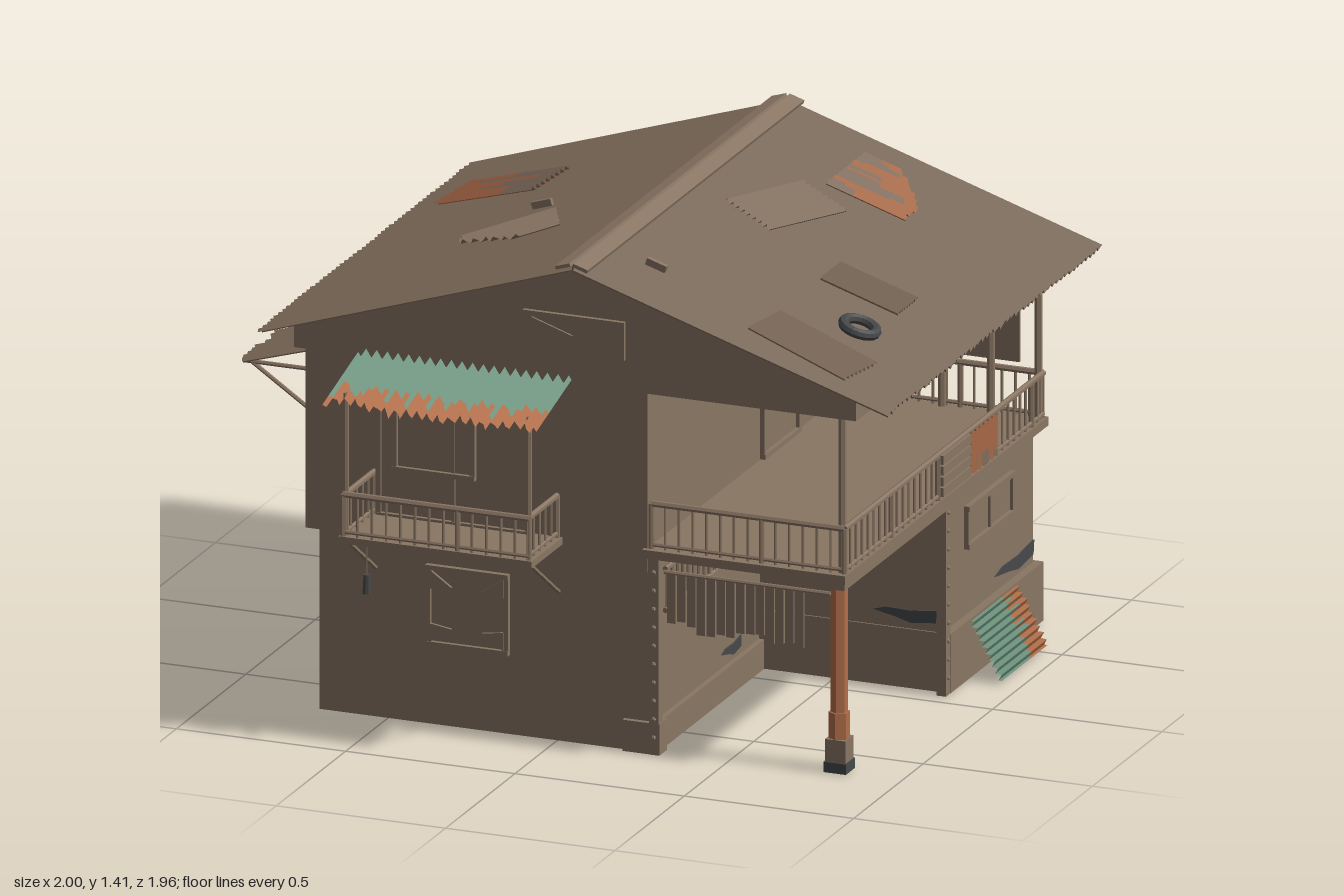
import * as THREE from 'three';

const mat = (name, color) => Object.assign(
  new THREE.MeshStandardMaterial({ color, side: THREE.DoubleSide, flatShading: true }), { name });
const brown = mat('weathered brown', 0x8a7664);
const rust = mat('rust orange', 0xb26f4a);
const green = mat('faded green', 0x6f957f);
const dark = mat('dark grey', 0x464849);

let seed = 7;
const rand = () => (seed = (seed * 16807) % 2147483647) / 2147483647;
const RIDGE = [0.07, 1.385], SLOPE = Math.atan(0.3 / 0.93), RUN = 0.977;

export function createModel() {
  const root = new THREE.Group();
  root.name = 'house';
  const add = (name, geo, m, parent = root) => {
    const mesh = new THREE.Mesh(geo, m);
    mesh.name = name;
    parent.add(mesh);
    return mesh;
  };
  // box given by its low and high corners
  const box = (name, x0, x1, y0, y1, z0, z1, m = brown, parent = root) => {
    const b = add(name, new THREE.BoxGeometry(x1 - x0, y1 - y0, z1 - z0), m, parent);
    b.position.set((x0 + x1) / 2, (y0 + y1) / 2, (z0 + z1) / 2);
    return b;
  };
  // round bar between two points
  const bar = (name, a, b, r = 0.006, m = brown, parent = root) => {
    const p = new THREE.Vector3(...a), d = new THREE.Vector3(...b).sub(p);
    const c = add(name, new THREE.CylinderGeometry(r, r, d.length(), 6), m, parent);
    c.position.copy(p).addScaledVector(d, 0.5);
    c.quaternion.setFromUnitVectors(new THREE.Vector3(0, 1, 0), d.normalize());
    return c;
  };
  // corrugated sheet: runs along +x, waves across z, second colour past the split
  const sheet = (name, len, wide, waves, amp, mats, { rag = 0, split = 2, jit = 0.12, cut = () => 1 } = {}) => {
    const cols = waves * 4, rows = 6, pos = [], lists = [[], []];
    let drift = 0;
    for (let i = 0; i <= cols; i++) {
      const u = i / cols;
      drift = drift * 0.8 + (rand() - 0.5) * rag;
      for (let j = 0; j <= rows; j++)
        pos.push((j / rows) * (len * cut(u) + drift), amp * Math.sin(u * waves * Math.PI * 2), (u - 0.5) * wide);
    }
    for (let i = 0; i < cols; i++) {
      const edge = split + (rand() - 0.5) * jit;
      for (let j = 0; j < rows; j++) {
        const a = i * (rows + 1) + j, b = a + rows + 1;
        lists[(j + 0.5) / rows > edge ? 1 : 0].push(a, b, a + 1, b, b + 1, a + 1);
      }
    }
    const g = new THREE.BufferGeometry();
    g.setAttribute('position', new THREE.Float32BufferAttribute(pos, 3));
    g.setIndex([...lists[0], ...lists[1]]);
    g.addGroup(0, lists[0].length, 0);
    g.addGroup(lists[0].length, lists[1].length, 1);
    const flat = g.toNonIndexed();
    flat.computeVertexNormals();
    return add(name, flat, mats);
  };
  const place = (o, x, y, z, yaw = 0, tilt = 0, pitch = 0) => {
    o.rotation.set(pitch, yaw, -tilt, 'YXZ');
    o.position.set(x, y, z);
    return o;
  };
  const plate = (name, pts, m, depth = 0.006) => add(name, new THREE.ExtrudeGeometry(
    new THREE.Shape(pts.map(p => new THREE.Vector2(...p))), { depth, bevelEnabled: false }), m);
  // framed opening facing +z before turning
  const opening = (name, w, h, pane, x, y, z, yaw, mullions = 0) => {
    const g = new THREE.Group(), t = 0.014;
    g.name = name;
    box('pane', -w / 2, w / 2, -h / 2, h / 2, 0, 0.004, pane, g);
    for (const s of [-1, 1]) {
      box('frameSide', s * w / 2 - t / 2, s * w / 2 + t / 2, -h / 2, h / 2, 0, 0.014, brown, g);
      box('frameRail', -w / 2 - t / 2, w / 2 + t / 2, s * h / 2 - t / 2, s * h / 2 + t / 2, 0, 0.016, brown, g);
    }
    for (let i = 1; i <= mullions; i++) {
      const mx = -w / 2 + (w * i) / (mullions + 1);
      box('mullion', mx - 0.005, mx + 0.005, -h / 2, h / 2, 0, 0.012, brown, g);
    }
    root.add(place(g, x, y, z, yaw));
    return g;
  };
  // railing with evenly spaced balusters
  const railing = (name, a, b, y0, y1, step) => {
    const g = new THREE.Group();
    g.name = name;
    root.add(g);
    const at = (t, y) => [a[0] + (b[0] - a[0]) * t, y, a[1] + (b[1] - a[1]) * t];
    bar('topRail', at(0, y1), at(1, y1), 0.009, brown, g);
    bar('bottomRail', at(0, y0 + 0.012), at(1, y0 + 0.012), 0.006, brown, g);
    const n = Math.round(Math.hypot(b[0] - a[0], b[1] - a[1]) / step);
    for (let i = 0; i <= n; i++) bar('baluster', at(i / n, y0), at(i / n, y1), i % 8 ? 0.004 : 0.008, brown, g);
  };

  // walls and floors
  box('lowerWalls', -0.7, 0.28, 0, 0.58, -0.73, 0.7);
  box('upperWalls', -0.74, 0.27, 0.52, 1.06, -0.735, 0.705);
  box('backRoom', 0.27, 0.82, 0, 0.57, -0.73, -0.08);
  box('backRoomPlinth', 0.27, 0.845, 0, 0.17, -0.745, -0.075);
  box('wallPlinth', 0.27, 0.295, 0, 0.085, -0.08, 0.7);
  box('pillarFoot', 0.2, 0.31, 0, 0.09, 0.66, 0.715);
  box('verandaFloor', 0.26, 0.86, 0.565, 0.59, -0.745, 0.72);
  box('verandaBeam', 0.8, 0.85, 0.54, 0.57, -0.1, 0.7);
  const gable = plate('gable', [[-0.77, 1.04], [0.89, 1.04], [0.89, 1.11], [0.07, 1.372], [-0.77, 1.11]], brown, 1.45);
  gable.position.z = -0.735;

  // roof halves, ridge cap and loose sheets
  for (const s of [1, -1]) {
    place(sheet(s > 0 ? 'roofLeft' : 'roofRight', RUN, 1.55, 52, 0.008, [brown, brown], { rag: 0.004 }),
      RIDGE[0], RIDGE[1], -0.015, s > 0 ? 0 : Math.PI, SLOPE);
    const cap = box('ridgeCap', 0, 0.045, 0.008, 0.018, -0.78, 0.78);
    const g = new THREE.Group();
    g.name = 'ridgeCapHalf';
    g.add(cap);
    root.add(place(g, RIDGE[0], RIDGE[1] + 0.003, -0.015, s > 0 ? 0 : Math.PI, SLOPE));
  }
  const onRoof = (o, x, z, spin = 0, lift = 0.018) => {
    const g = new THREE.Group(), s = x > RIDGE[0] ? 1 : -1;
    g.name = o.name + 'Mount';
    o.rotation.y = spin;
    g.add(o);
    root.add(place(g, x, RIDGE[1] - Math.abs(x - RIDGE[0]) * 0.3226 + lift, z, s > 0 ? 0 : Math.PI, SLOPE));
  };
  const patch = (len, wide, x, z, spin, opt = {}, mats = [brown, rust]) => {
    const p = sheet('roofPatch', len, wide, 8, 0.007, mats, opt);
    p.geometry.translate(-len / 2, 0, 0);
    onRoof(p, x, z, spin);
  };
  const torn = u => 0.45 + 0.55 * Math.min(1, Math.abs(1.5 * u));
  patch(0.25, 0.28, 0.47, -0.52, 0, { cut: torn, split: 0.3, jit: 1.2, rag: 0.01 });
  patch(0.33, 0.17, 0.33, -0.15, 1.25);
  patch(0.24, 0.14, 0.68, 0.11, 0);
  patch(0.32, 0.18, 0.71, 0.59, -0.13);
  patch(0.33, 0.2, -0.6, -0.37, -0.17, { split: 0.35, jit: 1.3 });
  patch(0.27, 0.23, -0.34, 0.2, 0.45, { cut: torn, rag: 0.01 });
  const tyre = (name, r) => add(name, new THREE.TorusGeometry(r, r * 0.32, 8, 20), dark);
  const roofTyre = tyre('roofTyre', 0.047);
  roofTyre.geometry.rotateX(Math.PI / 2);
  onRoof(roofTyre, 0.76, 0.37, 0, 0.025);
  for (const [x, z] of [[-0.35, -0.05], [0.23, 0.54]])
    onRoof(add('roofPeg', new THREE.BoxGeometry(0.06, 0.02, 0.015), brown), x, z);

  // awnings
  place(sheet('frontAwning', 0.27, 0.63, 20, 0.012, [green, rust], { rag: 0.02, split: 0.72 }), -0.265, 1.055, 0.7, -Math.PI / 2, 0.27);
  place(sheet('backAwning', 0.25, 0.63, 20, 0.012, [green, rust], { rag: 0.02, split: 0.62 }), -0.315, 0.495, -0.73, Math.PI / 2, 0.33);
  for (const [z0, z1, m, lift] of [[-0.67, -0.33, brown, 0], [-0.35, 0.03, green, 0.012], [0, 0.34, brown, 0], [0.3, 0.59, brown, 0.008]])
    place(sheet('sideAwning', 0.27, z1 - z0, 9, 0.009, [m, m === green ? rust : brown], { rag: 0.015, split: 0.6 }),
      -0.72, 1 + lift, (z0 + z1) / 2, Math.PI, 0.29);
  place(sheet('windowAwning', 0.18, 0.3, 9, 0.009, [green, rust], { rag: 0.015, split: 0.7 }), -0.71, 0.52, -0.42, Math.PI, 1.16);
  place(sheet('leaningSheet', 0.33, 0.185, 9, 0.008, [green, rust], { split: 0.72, rag: 0.01 }), 0.9, 0.09, -0.2, Math.PI / 2, 0, 1.06);
  for (const z of [-0.6, -0.03, 0.53]) {
    bar('awningStrut', [-0.97, 0.915, z], [-0.74, 0.76, z]);
    bar('awningArm', [-0.99, 0.915, z], [-0.74, 0.915, z]);
  }
  for (const x of [-0.6, -0.03]) {
    bar('backStrut', [x, 0.41, -0.95], [x, 0.23, -0.73]);
    bar('backArm', [x, 0.42, -0.97], [x, 0.42, -0.73]);
  }

  // small front balcony
  box('balconyFloor', -0.55, 0.02, 0.57, 0.59, 0.7, 0.93);
  railing('balconyRail', [-0.54, 0.92], [0.01, 0.92], 0.59, 0.71, 0.042);
  for (const x of [-0.535, 0.005]) {
    railing('balconySideRail', [x, 0.71], [x, 0.92], 0.59, 0.71, 0.042);
    bar('balconyPost', [x, 0.59, 0.91], [x, 1, 0.91], 0.008);
    bar('balconyStrut', [x, 0.575, 0.91], [x, 0.43, 0.7], 0.007);
  }
  opening('balconyDoor', 0.44, 0.38, brown, -0.3, 0.78, 0.705, 0, 1);
  opening('balconyWindow', 0.23, 0.24, brown, -0.355, 0.85, 0.71, 0);
  bar('lanternCord', [-0.47, 0.57, 0.92], [-0.47, 0.49, 0.92], 0.002);
  add('lantern', new THREE.CylinderGeometry(0.01, 0.013, 0.055, 8), dark).position.set(-0.47, 0.46, 0.92);

  // front window with broken corners, gable vents
  opening('frontWindow', 0.23, 0.22, brown, -0.26, 0.345, 0.7, 0);
  for (const sx of [-1, 1]) for (const sy of [-1, 1])
    plate('windowShard', [[0.11 * sx, 0.05 * sy], [0.11 * sx, 0.105 * sy], [0.045 * sx, 0.06 * sy]], brown, 0.008).position.set(-0.26, 0.345, 0.708);
  box('frontVent', -0.09, 0.21, 1.13, 1.24, 0.71, 0.728);
  plate('ventFlap', [[-0.06, 1.145], [0.06, 1.185], [-0.06, 1.225]], brown).position.z = 0.729;
  box('backVent', -0.09, 0.23, 1.13, 1.23, -0.765, -0.73).rotation.z = -0.05;

  // veranda rails, posts and hangings
  railing('verandaFrontRail', [0.28, 0.7], [0.85, 0.7], 0.59, 0.72, 0.04);
  railing('verandaSideRail', [0.85, 0.7], [0.85, -0.73], 0.59, 0.72, 0.042);
  railing('verandaBackRail', [0.28, -0.73], [0.85, -0.73], 0.59, 0.72, 0.04);
  for (const [x, z] of [[0.84, 0.69], [0.84, -0.38], [0.84, -0.72], [0.555, -0.72]]) bar('verandaPost', [x, 0.58, z], [x, 1.05, z], 0.011);
  box('hangingScreen', 0.28, 0.79, 0.75, 0.985, -0.712, -0.706);
  for (let i = 0; i < 4; i++) box('railBoard', 0.858, 0.868, 0.602 + i * 0.031, 0.628 + i * 0.031, -0.17, 0.03);
  place(sheet('railSheet', 0.12, 0.18, 6, 0.006, [rust, brown], { split: 0.9, jit: 0.5 }), 0.868, 0.725, -0.26, 0, Math.PI / 2);
  bar('rustyPost', [0.81, 0.16, 0.64], [0.81, 0.57, 0.64], 0.024, rust);
  bar('postBase', [0.81, 0.09, 0.64], [0.81, 0.17, 0.64], 0.03, rust);
  box('postFoot', 0.78, 0.84, 0, 0.095, 0.61, 0.67);
  box('postFootSole', 0.777, 0.843, 0, 0.03, 0.607, 0.673, dark);
  for (const [x, z] of [[0.293, 0.7], [0.83, -0.06]]) {
    box('studdedPillar', x - 0.014, x + 0.014, 0, 0.57, z - 0.016, z + 0.016);
    for (let i = 0; i < 10; i++) add('stud', new THREE.SphereGeometry(0.007, 6, 4), brown).position.set(x + (z < 0 ? 0.014 : 0), 0.05 + i * 0.053, z + (z > 0 ? 0.016 : 0));
  }
  bar('hangingRail', [0.31, 0.52, 0.68], [0.8, 0.52, 0.68], 0.006);
  for (let i = 0; i < 14; i++) {
    const x = 0.32 + i * 0.029;
    box('hangingSlat', x, x + 0.025, 0.35 + (i % 7 < 3 ? 0.02 : 0) + rand() * 0.015, 0.52, 0.676, 0.684);
  }
  for (const y of [0.39, 0.51]) bar('latticeRail', [0.292, y, -0.05], [0.292, y, 0.63], 0.008);
  for (let i = 0; i < 18; i++) bar('latticeSlat', [0.292, 0.39, -0.03 + i * 0.038], [0.292, 0.51, -0.03 + i * 0.038], 0.005);

  // openings on the sides
  opening('verandaDoor', 0.25, 0.38, brown, 0.271, 0.79, -0.235, Math.PI / 2);
  box('doorGlass', 0.272, 0.281, 0.755, 0.98, -0.345, -0.125, dark);
  opening('verandaWindow', 0.25, 0.27, brown, 0.271, 0.865, -0.53, Math.PI / 2, 1);
  box('windowGlass', 0.272, 0.279, 0.75, 0.93, -0.49, -0.42, dark);
  opening('backRoomWindow', 0.32, 0.11, brown, 0.82, 0.425, -0.4, Math.PI / 2, 1);
  opening('sideWindow', 0.26, 0.25, brown, -0.7, 0.38, -0.42, -Math.PI / 2, 1);
  opening('sideWindow', 0.28, 0.25, brown, -0.7, 0.4, 0.32, -Math.PI / 2, 1);
  place(sheet('sideShutter', 0.19, 0.13, 5, 0.007, [brown, brown]), -0.725, 0.53, 0.25, Math.PI, Math.PI / 2, 0);
  for (const z of [-0.42, 0.28]) opening('upperSideWindow', 0.24, 0.2, dark, -0.74, 0.79, z, -Math.PI / 2, 1);

  // back wall: door, corrugated cover with tyre, ladder
  opening('backDoor', 0.21, 0.37, brown, -0.32, 0.19, -0.73, Math.PI);
  opening('doorGrille', 0.11, 0.1, dark, -0.32, 0.28, -0.736, Math.PI, 4);
  place(sheet('windowCover', 0.37, 0.53, 16, 0.01, [brown, rust], { split: 0.6, jit: 1.4, rag: 0.02 }), -0.41, 1.02, -0.75, Math.PI / 2, Math.PI / 2);
  tyre('wallTyre', 0.045).position.set(-0.5, 0.87, -0.785);
  for (const x of [0.07, 0.18]) bar('ladderRail', [x, 0.13, -0.78], [x, 1.07, -0.78], 0.008);
  for (let i = 0; i < 14; i++) bar('ladderRung', [0.07, 0.17 + i * 0.066, -0.78], [0.18, 0.17 + i * 0.066, -0.78], 0.006);

  // damp stains
  const stain = (w, h, x, y, z, yaw) => place(plate('stain', [[-0.5, 0.1], [-0.3, 0.35], [0.1, 0.3], [0.5, 0.5], [0.48, -0.3],
    [0.1, -0.5], [-0.15, -0.2]].map(([a, b]) => [a * w, b * h]), dark, 0.004), x, y, z, yaw);
  stain(0.28, 0.05, 0.82, 0.21, -0.59, Math.PI / 2);
  stain(0.14, 0.03, 0.82, 0.555, -0.15, Math.PI / 2);
  stain(0.14, 0.04, 0.28, 0.12, 0.13, Math.PI / 2);
  stain(0.19, 0.045, 0.71, 0.21, -0.08, 0);
  stain(0.2, 0.03, 0.41, 0.555, -0.08, 0);
  stain(0.3, 0.06, 0.64, 0.21, -0.731, Math.PI);
  return root;
}
